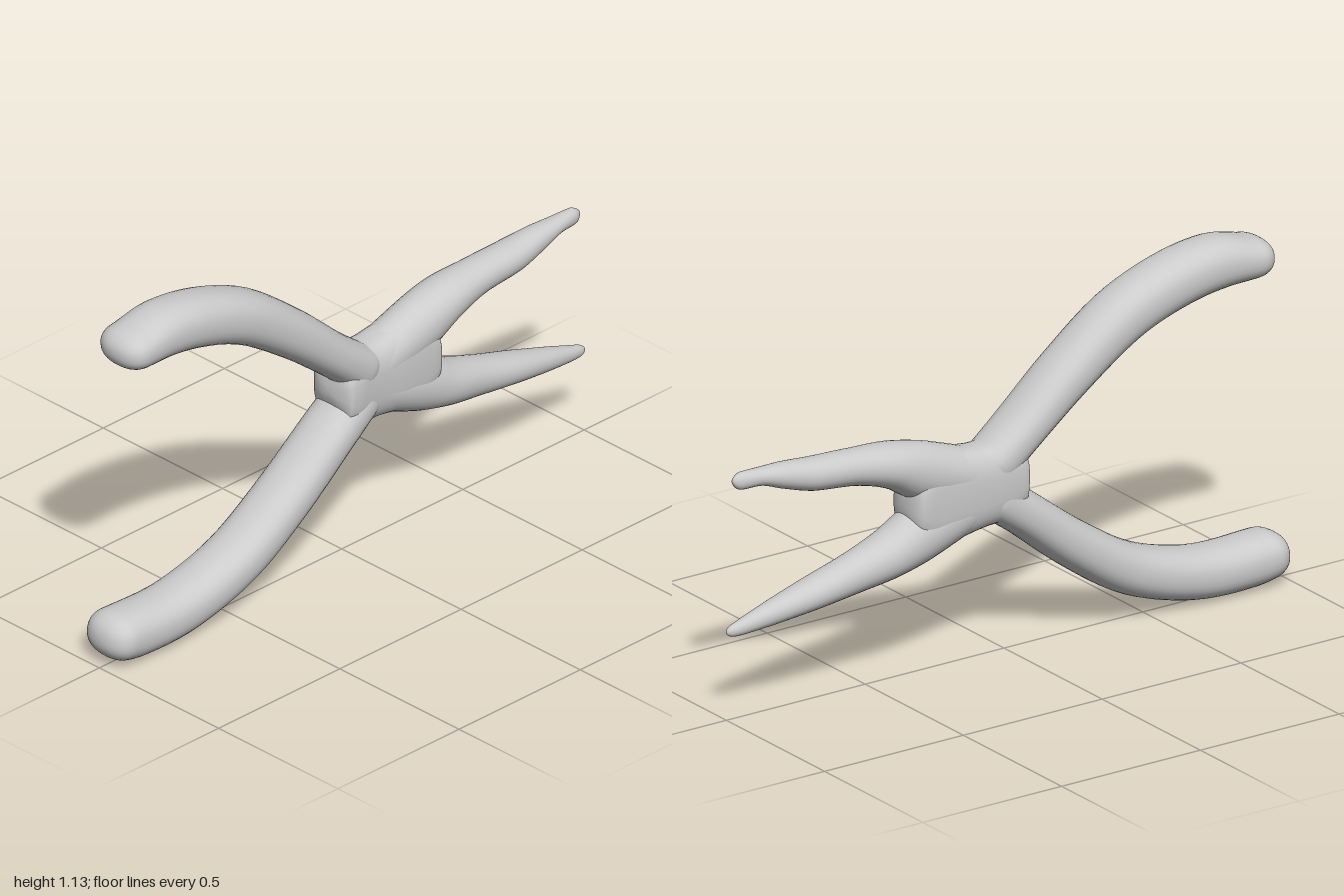
import * as THREE from 'three';

const material = new THREE.MeshStandardMaterial({ color: 0xcccccc });

// Loft a rounded section along stations [x, y, halfWidth, halfDepth, zOffset].
// cap: length of the rounded end; boxy: superellipse exponent of the section.
function loft(name, stations, cap, boxy = 2.3, steps = 56, sides = 32) {
  const path = new THREE.CatmullRomCurve3(stations.map(s => new THREE.Vector3(s[0], s[1], 0)));
  const size = new THREE.CatmullRomCurve3(stations.map(s => new THREE.Vector3(s[2], s[3], s[4])));
  const ends = [path.getPoint(0), path.getPoint(1)];
  const pos = [], index = [];
  const power = (v, e) => Math.sign(v) * Math.pow(Math.abs(v), e);
  for (let i = 0; i <= steps; i++) {
    const t = (1 - Math.cos(Math.PI * i / steps)) / 2; // denser rings at the ends
    const p = path.getPoint(t), tan = path.getTangent(t), s = size.getPoint(t);
    const near = Math.min(p.distanceTo(ends[0]), p.distanceTo(ends[1]), cap);
    const k = Math.pow(Math.max(0, 1 - Math.pow(1 - near / cap, 2.3)), 1 / 2.3);
    for (let j = 0; j < sides; j++) {
      const a = j / sides * Math.PI * 2;
      const n = power(Math.cos(a), 2 / boxy) * s.x * k;
      const z = power(Math.sin(a), 2 / boxy) * s.y * k + s.z;
      pos.push(p.x - tan.y * n, p.y + tan.x * n, z);
    }
  }
  for (let i = 0; i < steps; i++) {
    for (let j = 0; j < sides; j++) {
      const a = i * sides + j, b = i * sides + (j + 1) % sides;
      index.push(a, b, a + sides, b, b + sides, a + sides);
    }
  }
  const geometry = new THREE.BufferGeometry();
  geometry.setAttribute('position', new THREE.Float32BufferAttribute(pos, 3));
  geometry.setIndex(index);
  geometry.computeVertexNormals();
  const mesh = new THREE.Mesh(geometry, material);
  mesh.name = name;
  return mesh;
}

export function createModel() {
  const group = new THREE.Group();
  group.name = 'pliers';

  // Long curved grips, sweeping away from the joint
  group.add(loft('upperHandle', [
    [-0.945, 1.043, 0.056, 0.093, 0], [-0.87, 1.045, 0.065, 0.093, 0],
    [-0.75, 1.054, 0.081, 0.093, 0], [-0.6, 1.03, 0.084, 0.093, 0],
    [-0.42, 0.963, 0.083, 0.093, 0], [-0.22, 0.826, 0.075, 0.093, 0],
    [-0.05, 0.686, 0.068, 0.091, 0], [0.1, 0.565, 0.075, 0.083, -0.004],
  ], 0.07));
  group.add(loft('lowerHandle', [
    [-1.0, 0.1, 0.066, 0.093, 0], [-0.87, 0.084, 0.08, 0.093, 0],
    [-0.68, 0.088, 0.079, 0.093, 0], [-0.45, 0.152, 0.077, 0.093, 0],
    [-0.25, 0.274, 0.073, 0.093, 0], [-0.05, 0.428, 0.069, 0.091, 0],
    [0.1, 0.535, 0.075, 0.083, -0.004],
  ], 0.07));

  // Tapering jaws with small pointed tips
  group.add(loft('upperJaw', [
    [0.1, 0.575, 0.08, 0.08, -0.006], [0.3, 0.635, 0.088, 0.082, -0.007],
    [0.42, 0.68, 0.07, 0.08, -0.007], [0.55, 0.703, 0.055, 0.064, -0.006],
    [0.7, 0.715, 0.05, 0.058, -0.004], [0.8, 0.733, 0.04, 0.045, -0.002],
    [0.88, 0.746, 0.027, 0.032, 0], [0.95, 0.748, 0.027, 0.022, 0],
    [0.978, 0.753, 0.018, 0.014, 0],
  ], 0.03, 2.1));
  group.add(loft('lowerJaw', [
    [0.1, 0.515, 0.08, 0.08, -0.006], [0.3, 0.447, 0.088, 0.082, -0.007],
    [0.42, 0.4, 0.073, 0.08, -0.007], [0.55, 0.367, 0.06, 0.066, -0.006],
    [0.7, 0.335, 0.048, 0.058, -0.004], [0.85, 0.304, 0.035, 0.038, -0.001],
    [0.95, 0.284, 0.023, 0.022, 0], [1.0, 0.277, 0.015, 0.013, 0],
  ], 0.03, 2.1));

  // Solid joint with soft webs between the limbs
  group.add(loft('joint', [
    [-0.058, 0.56, 0.05, 0.07, 0], [-0.03, 0.56, 0.1, 0.084, 0],
    [0.03, 0.55, 0.128, 0.086, -0.003], [0.1, 0.545, 0.128, 0.083, -0.006],
    [0.2, 0.543, 0.143, 0.083, -0.007], [0.28, 0.542, 0.155, 0.082, -0.007],
    [0.33, 0.543, 0.12, 0.08, -0.007], [0.37, 0.544, 0.07, 0.07, -0.007],
  ], 0.03, 2.8));

  return group;
}
